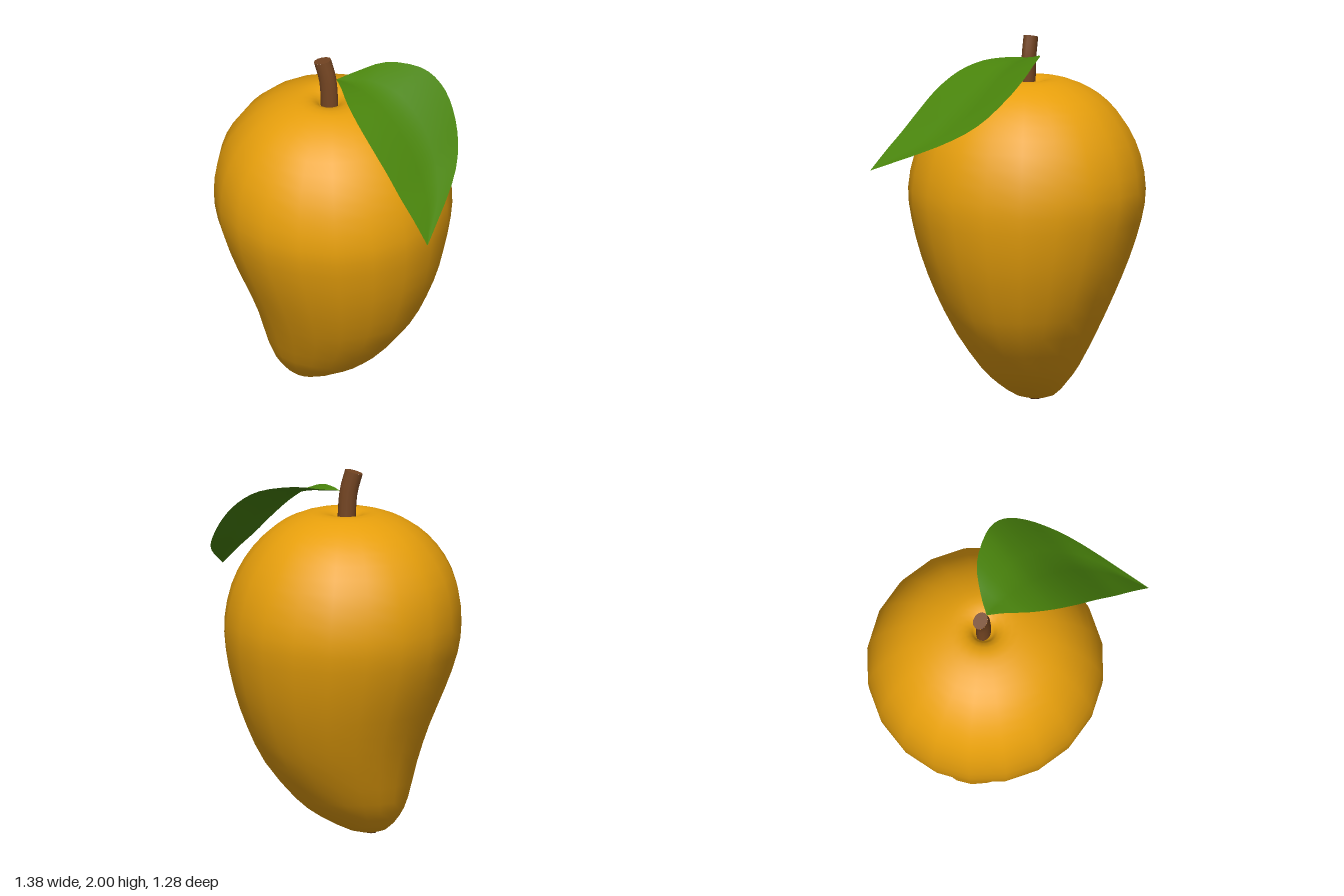
import * as THREE from 'three';

const skin = new THREE.MeshStandardMaterial({ name: 'mango orange', color: 0xe8a00c });
const bark = new THREE.MeshStandardMaterial({ name: 'stem brown', color: 0x744522 });
const green = new THREE.MeshStandardMaterial({ name: 'leaf green', color: 0x4a850c, side: THREE.DoubleSide });

// Smooth surface over a grid of points; closed wraps each row into a ring.
function gridSurface(rows, cols, pointAt, closed) {
  const positions = [], index = [];
  const width = closed ? cols : cols + 1;
  for (let i = 0; i <= rows; i++) {
    for (let j = 0; j < width; j++) positions.push(...pointAt(i / rows, j / cols));
  }
  for (let i = 0; i < rows; i++) {
    for (let j = 0; j < cols; j++) {
      const k = (j + 1) % width;
      const a = i * width + j, b = i * width + k, c = a + width, d = b + width;
      index.push(a, b, c, b, d, c);
    }
  }
  const geometry = new THREE.BufferGeometry();
  geometry.setAttribute('position', new THREE.Float32BufferAttribute(positions, 3));
  geometry.setIndex(index);
  geometry.computeVertexNormals();
  return geometry;
}

const spline = (points) =>
  new THREE.CatmullRomCurve3(points.map((p) => new THREE.Vector3(...p)), false, 'catmullrom', 0.5);

function part(name, geometry, material) {
  const mesh = new THREE.Mesh(geometry, material);
  mesh.name = name;
  return mesh;
}

// Fruit cross-sections: height, left edge, right edge, half depth
const SECTIONS = [
  [0.003, -0.191, -0.189, 0.001],
  [0.025, -0.285, -0.075, 0.1],
  [0.1, -0.355, 0.085, 0.18],
  [0.2, -0.40, 0.215, 0.262],
  [0.4, -0.45, 0.38, 0.382],
  [0.6, -0.515, 0.478, 0.48],
  [0.8, -0.598, 0.547, 0.56],
  [1.0, -0.668, 0.586, 0.618],
  [1.17, -0.69, 0.592, 0.64],
  [1.35, -0.672, 0.555, 0.608],
  [1.5, -0.61, 0.483, 0.54],
  [1.62, -0.515, 0.387, 0.447],
  [1.7, -0.41, 0.285, 0.34],
  [1.748, -0.30, 0.18, 0.235],
  [1.765, -0.21, 0.09, 0.15],
  [1.745, -0.145, 0.01, 0.08],
  [1.70, -0.115, -0.03, 0.045],
  [1.69, -0.071, -0.069, 0.001],
];

function makeFruit() {
  const sides = spline(SECTIONS.map(([y, left, right]) => [left, y, right]));
  const depth = spline(SECTIONS.map(([y, , , half]) => [half, y, 0]));
  const geometry = gridSurface((SECTIONS.length - 1) * 2, 20, (t, u) => {
    const s = sides.getPoint(t), half = depth.getPoint(t).x;
    const angle = u * Math.PI * 2;
    return [
      (s.x + s.z) / 2 + ((s.z - s.x) / 2) * Math.cos(angle),
      Math.max(s.y, 0.002),
      -half * Math.sin(angle),
    ];
  }, true);
  return part('fruit', geometry, skin);
}

function makeStem() {
  const stem = new THREE.Group();
  stem.name = 'stem';
  const path = spline([[-0.068, 1.66, 0], [-0.07, 1.77, 0], [-0.08, 1.88, 0], [-0.108, 1.985, 0]]);
  stem.add(part('stemShaft', new THREE.TubeGeometry(path, 8, 0.049, 12), bark));
  // flat cut end
  const cap = part('stemEnd', new THREE.CircleGeometry(0.049, 12), bark);
  cap.position.copy(path.getPoint(1));
  cap.quaternion.setFromUnitVectors(new THREE.Vector3(0, 0, 1), path.getTangent(1));
  stem.add(cap);
  stem.scale.z = 0.78;
  return stem;
}

// Leaf spans two edge curves, with a shallow valley along the midrib
function makeLeaf() {
  const backEdge = spline([
    [-0.03, 1.88, 0], [0.06, 1.9, -0.08], [0.2, 1.93, -0.17], [0.38, 1.91, -0.203], [0.5, 1.84, -0.185],
    [0.59, 1.735, -0.115], [0.66, 1.6, 0.02], [0.688, 1.485, 0.23], [0.67, 1.33, 0.63],
  ]);
  const frontEdge = spline([
    [-0.03, 1.88, 0], [0.02, 1.885, 0.08], [0.09, 1.87, 0.2], [0.18, 1.82, 0.305], [0.285, 1.735, 0.39],
    [0.39, 1.63, 0.455], [0.485, 1.525, 0.515], [0.575, 1.435, 0.57], [0.67, 1.33, 0.63],
  ]);
  const geometry = gridSurface(24, 8, (t, u) => {
    const p = frontEdge.getPoint(t).lerp(backEdge.getPoint(t), u);
    const fold = Math.pow(1 - Math.abs(2 * u - 1), 1.2);
    p.y -= 0.04 * Math.sin(Math.PI * t) * fold;
    return p.toArray();
  }, false);
  // front faces point to the upper side
  geometry.index.array.reverse();
  geometry.computeVertexNormals();
  return part('leaf', geometry, green);
}

export function createModel() {
  const model = new THREE.Group();
  model.name = 'mango';
  model.add(makeFruit(), makeStem(), makeLeaf());
  // small dark scar under the tip
  const scar = part('tipScar', new THREE.CylinderGeometry(0.034, 0.028, 0.008, 10), bark);
  scar.position.set(-0.2, 0.004, 0.01);
  model.add(scar);
  return model;
}
